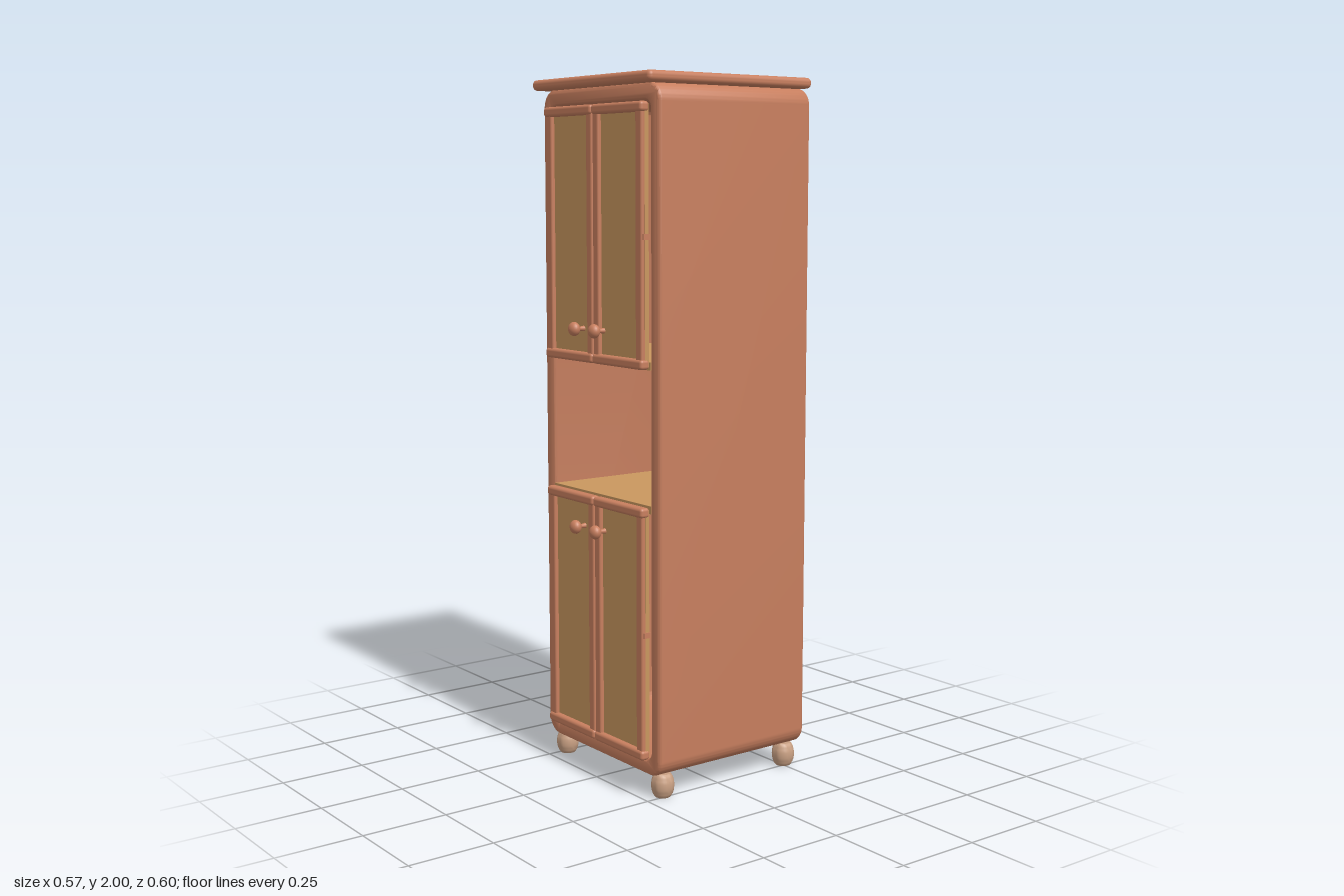
import * as THREE from 'three';
import { toCreasedNormals } from 'three/addons/utils/BufferGeometryUtils.js';
import { RoundedBoxGeometry } from 'three/addons/geometries/RoundedBoxGeometry.js';

const material = (name, color) => {
  const m = new THREE.MeshStandardMaterial({ color });
  m.name = name;
  return m;
};

// Rounded rectangle outline, used for the case and its opening
function roundedRect(path, x0, y0, x1, y1, r) {
  path.absarc(x1 - r, y0 + r, r, -Math.PI / 2, 0);
  path.absarc(x1 - r, y1 - r, r, 0, Math.PI / 2);
  path.absarc(x0 + r, y1 - r, r, Math.PI / 2, Math.PI);
  path.absarc(x0 + r, y0 + r, r, Math.PI, Math.PI * 1.5);
  path.closePath();
  return path;
}

export function createModel() {
  const redWood = material('red wood', 0xc87f5f);
  const paleWood = material('pale wood', 0xc9975f);
  const footWood = material('foot wood', 0xc9a083);
  const cabinet = new THREE.Group();
  cabinet.name = 'cabinet';

  function add(parent, name, geometry, mat, x = 0, y = 0, z = 0) {
    const mesh = new THREE.Mesh(geometry, mat);
    mesh.name = name;
    mesh.position.set(x, y, z);
    parent.add(mesh);
    return mesh;
  }
  // Box given by its two extreme corners, with optional soft edges
  function block(parent, name, mat, [x0, y0, z0], [x1, y1, z1], r = 0) {
    const w = x1 - x0, h = y1 - y0, d = z1 - z0;
    const g = r ? new RoundedBoxGeometry(w, h, d, 3, r) : new THREE.BoxGeometry(w, h, d);
    return add(parent, name, g, mat, (x0 + x1) / 2, (y0 + y1) / 2, (z0 + z1) / 2);
  }

  // Case: a rounded tube open at front and back
  const bevel = 0.01;
  const outline = roundedRect(new THREE.Shape(), -0.28, 0.065, 0.28, 1.972, 0.05);
  outline.holes.push(roundedRect(new THREE.Path(), -0.236, 0.109, 0.236, 1.927, 0.025));
  const caseGeometry = new THREE.ExtrudeGeometry(outline, {
    depth: 0.53 - 2 * bevel, bevelThickness: bevel, bevelSize: bevel,
    bevelOffset: -bevel, bevelSegments: 4, curveSegments: 8,
  });
  add(cabinet, 'case', toCreasedNormals(caseGeometry, 0.6), redWood, 0, 0, -0.3 + bevel);

  // Top board
  block(cabinet, 'topBoard', redWood, [-0.285, 1.97, -0.303], [0.285, 2, 0.267], 0.013);

  // Back panel, and shelves framing the open niche
  const back = roundedRect(new THREE.Shape(), -0.24, 0.105, 0.24, 1.931, 0.025);
  add(cabinet, 'backPanel', new THREE.ExtrudeGeometry(back, { depth: 0.012, bevelEnabled: false }),
    paleWood, 0, 0, -0.293);
  block(cabinet, 'nicheFloor', paleWood, [-0.238, 0.81, -0.285], [0.238, 0.832, 0.229]);
  block(cabinet, 'nicheCeiling', paleWood, [-0.238, 1.205, -0.285], [0.238, 1.227, 0.229]);

  // Knob profile turned around its axis: thin stem, then a flattened ball
  const knobPoints = [[0.008, 0], [0.006, 0.012], [0.007, 0.017]].map(p => new THREE.Vector2(...p));
  for (let i = 2; i <= 12; i++) {
    const a = -Math.PI / 2 + (i / 12) * Math.PI;
    knobPoints.push(new THREE.Vector2(Math.max(0, 0.02 * Math.cos(a)), 0.033 + 0.016 * Math.sin(a)));
  }
  const knobGeometry = new THREE.LatheGeometry(knobPoints, 24).rotateX(Math.PI / 2);

  // One framed door; side is +1 or -1
  function door(name, side, y0, y1, knobY) {
    const g = new THREE.Group();
    g.name = name;
    const bar = (part, mat, xa, xb, ya, yb, za, zb, r) => block(g, part, mat,
      [Math.min(xa * side, xb * side), ya, za], [Math.max(xa * side, xb * side), yb, zb], r);
    bar('doorPanel', paleWood, 0.004, 0.233, y0 + 0.006, y1 - 0.006, 0.231, 0.244);
    bar('innerStile', redWood, 0.002, 0.03, y0 + 0.015, y1 - 0.015, 0.236, 0.255, 0.006);
    bar('outerStile', redWood, 0.202, 0.232, y0 + 0.015, y1 - 0.015, 0.236, 0.255, 0.006);
    for (const y of [y0, y1 - 0.028])
      bar('rail', redWood, 0.001, 0.236, y, y + 0.028, 0.23, 0.26, 0.009);
    // Small catch and hinge at mid height
    const mid = (y0 + y1) / 2;
    for (const x of [0.001, 0.231])
      bar('hinge', redWood, x, x + 0.005, mid - 0.008, mid + 0.008, 0.229, 0.25);
    add(g, 'knob', knobGeometry, redWood, 0.049 * side, knobY, 0.251);
    cabinet.add(g);
  }
  for (const side of [-1, 1]) {
    const label = side > 0 ? 'left' : 'right';
    door(label + 'UpperDoor', side, 1.207, 1.922, 1.302);
    door(label + 'LowerDoor', side, 0.113, 0.828, 0.736);
  }

  // Bun feet: balls with flattened ends
  const footPoints = [new THREE.Vector2(0, 0)];
  for (let i = 0; i <= 10; i++) {
    const a = -1.1 + 0.22 * i;
    footPoints.push(new THREE.Vector2(0.012 + 0.021 * Math.cos(a), 0.034 + 0.034 * Math.sin(a) / Math.sin(1.1)));
  }
  footPoints.push(new THREE.Vector2(0, 0.068));
  const footGeometry = toCreasedNormals(new THREE.LatheGeometry(footPoints, 24), 0.6);
  for (const x of [-0.24, 0.24])
    for (const z of [-0.256, 0.19]) add(cabinet, 'foot', footGeometry, footWood, x, 0, z);

  return cabinet;
}
